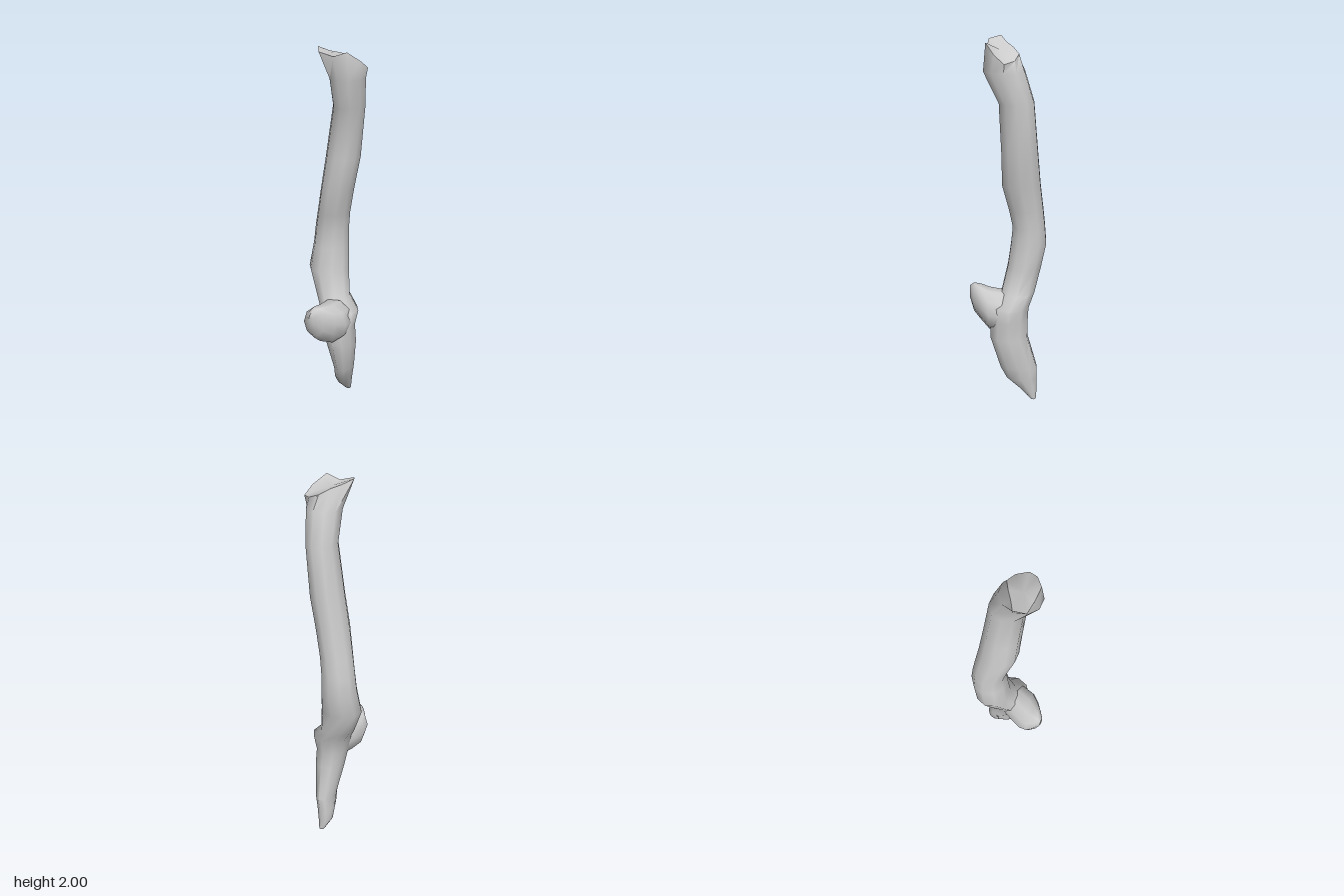
import * as THREE from 'three';
import { toCreasedNormals } from 'three/addons/utils/BufferGeometryUtils.js';

const SIDES = 10;
const V = (x, y, z) => new THREE.Vector3(x, y, z);

// Skin a list of rings (each SIDES points) and close both ends
function loft(rings, endCenter) {
  const pos = [], index = [];
  rings.flat().forEach(p => pos.push(p.x, p.y, p.z));
  const last = (rings.length - 1) * SIDES;
  for (let i = 0; i < rings.length - 1; i++) {
    for (let k = 0; k < SIDES; k++) {
      const n = (k + 1) % SIDES, a = i * SIDES + k, b = i * SIDES + n;
      index.push(a, a + SIDES, b, b, a + SIDES, b + SIDES);
    }
  }
  const mean = ring => ring.reduce((s, p) => s.add(p), V(0, 0, 0)).divideScalar(SIDES);
  const start = mean(rings[0]), end = endCenter || mean(rings[rings.length - 1]);
  const c0 = pos.length / 3, c1 = c0 + 1;
  pos.push(start.x, start.y, start.z, end.x, end.y, end.z);
  for (let k = 0; k < SIDES; k++) {
    const n = (k + 1) % SIDES;
    index.push(c0, k, n, c1, last + n, last + k);
  }
  const geo = new THREE.BufferGeometry();
  geo.setAttribute('position', new THREE.Float32BufferAttribute(pos, 3));
  geo.setIndex(index);
  return toCreasedNormals(geo, 0.95);
}

// Ring of an ellipse given by its extents; place() maps the two axes into space
function ring(a0, a1, b0, b1, place) {
  return Array.from({ length: SIDES }, (_, k) => {
    const t = (k / SIDES) * Math.PI * 2;
    return place((a0 + a1) / 2 + (a1 - a0) / 2 * Math.cos(t),
      (b0 + b1) / 2 + (b1 - b0) / 2 * Math.sin(t));
  });
}

export function createModel() {
  const group = new THREE.Group();
  group.name = 'brokenBranch';
  const material = new THREE.MeshStandardMaterial({ color: 0xcccccc });
  const add = (name, geo) => {
    const mesh = new THREE.Mesh(geo, material);
    mesh.name = name;
    group.add(mesh);
  };

  // Main stem: [height, x min, x max, z min, z max]
  const stem = [
    [0.00, 0.025, 0.055, -0.160, -0.130],
    [0.06, -0.015, 0.065, -0.166, -0.070],
    [0.13, -0.020, 0.078, -0.166, 0.005],
    [0.20, -0.020, 0.090, -0.166, 0.040],
    [0.38, -0.055, 0.112, -0.114, 0.095],
    [0.48, -0.075, 0.105, -0.116, 0.095],
    [0.56, -0.090, 0.122, -0.120, 0.085],
    [0.63, -0.120, 0.065, -0.150, 0.035],
    [0.77, -0.168, 0.052, -0.184, 0.003],
    [0.90, -0.148, 0.046, -0.210, -0.014],
    [1.00, -0.137, 0.046, -0.202, -0.023],
    [1.10, -0.120, 0.056, -0.192, -0.003],
    [1.24, -0.095, 0.082, -0.177, 0.032],
    [1.42, -0.066, 0.117, -0.162, 0.034],
    [1.69, -0.025, 0.142, -0.140, 0.045],
    [1.85, -0.030, 0.156, -0.093, 0.122],
  ].map(([y, x0, x1, z0, z1]) => ring(x0, x1, z0, z1, (x, z) => V(x, y, z)));

  // Jagged broken rim, following the same order around the stem
  stem.push([
    [0.165, 1.90, 0.01], [0.14, 1.94, 0.06], [0.08, 1.99, 0.105], [0.01, 1.965, 0.10],
    [-0.063, 1.985, 0.096], [-0.082, 2.0, 0.035], [-0.03, 1.975, 0.005],
    [0.02, 1.96, -0.03], [0.07, 1.935, -0.06], [0.125, 1.91, -0.04],
  ].map(p => V(...p)));
  add('mainStem', loft(stem, V(0.04, 1.95, 0.035)));

  // Snapped side stub growing forward: [z, x min, x max, y min, y max]
  const stub = [
    [-0.03, -0.075, 0.075, 0.42, 0.61],
    [0.03, -0.105, 0.100, 0.40, 0.637],
    [0.10, -0.136, 0.080, 0.405, 0.637],
    [0.145, -0.140, 0.035, 0.445, 0.645],
    [0.185, -0.115, -0.020, 0.485, 0.650],
    [0.208, -0.095, -0.060, 0.560, 0.630],
  ].map(([z, x0, x1, y0, y1]) => ring(x0, x1, y1, y0, (x, y) => V(x, y, z)));
  add('sideStub', loft(stub));

  // Small splinter at the foot
  const splinter = new THREE.ConeGeometry(0.025, 0.1, 5);
  splinter.rotateX(Math.PI).translate(0.0, 0.1, -0.085);
  add('footSplinter', splinter);

  return group;
}
